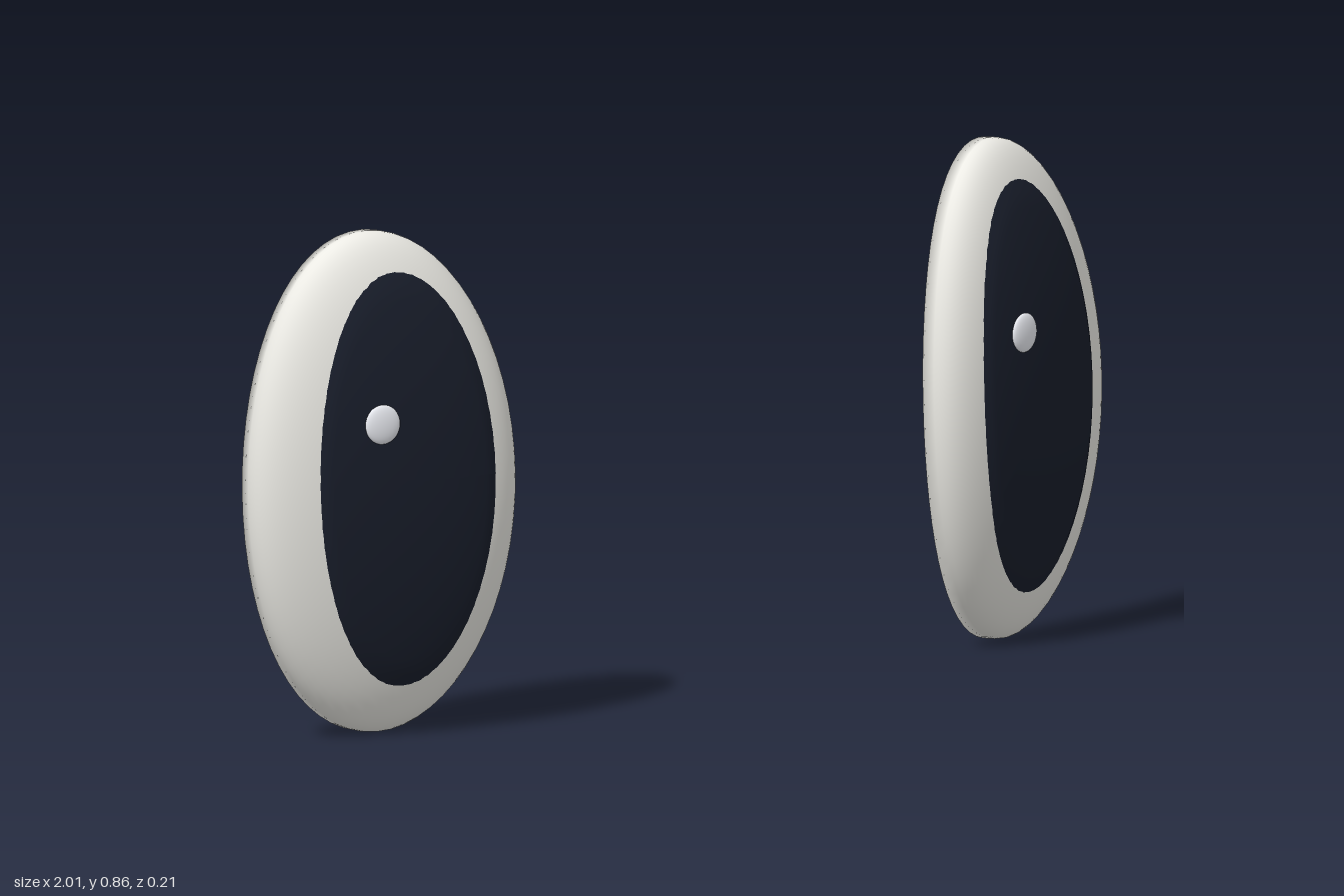
import * as THREE from 'three';
import { mergeVertices } from 'three/addons/utils/BufferGeometryUtils.js';

const A = 0.258, B = 0.43;             // half width and half height of an eye
const FRONT = 0.111;                   // bulge of the front
const EDGE = 0.011;                    // half thickness of the rim
const BACK = 0.023;                    // depth of the back's middle
const BEND = 0.03;                     // top and bottom sit behind the side edges
const YAW = 0.262, PITCH = 0.029;

const bend = (u) => -BEND * (1 - (u / A) ** 2);
const frontDepth = (u, v) =>
  EDGE + FRONT * Math.sqrt(Math.max(0, 1 - (u / A) ** 2 - (v / B) ** 2)) + bend(u);

// Domed front, thin rim bent around the vertical axis, almost flat back
function eyeballGeometry() {
  const n = 20;
  const pts = [0, 0.25, 0.5, 0.75, 1].map((r) => new THREE.Vector2(r, -EDGE));
  for (let i = 0; i <= n; i++) {
    const a = (i / n) * Math.PI / 2;
    pts.push(new THREE.Vector2(i === n ? 0 : Math.cos(a), EDGE + FRONT * Math.sin(a)));
  }
  let geo = new THREE.LatheGeometry(pts, 64).rotateX(Math.PI / 2).scale(A, B, 1);
  geo.deleteAttribute('normal');
  geo.deleteAttribute('uv');
  geo = mergeVertices(geo);
  const p = geo.attributes.position;
  for (let i = 0; i < p.count; i++) {
    const u = p.getX(i), v = p.getY(i), z = p.getZ(i);
    const r = Math.hypot(u / A, v / B);
    // The back runs straight from its middle to the bent rim
    if (z < 0) p.setZ(i, -BACK * (1 - r) + r * (z + bend(r > 0 ? u / r : 0)));
    else p.setZ(i, z + bend(u));
  }
  geo.computeVertexNormals();
  return geo;
}

// Oval cap that follows the domed front, its last ring tucked under the surface
function pupilGeometry(side) {
  const cu = -side * 0.018, cv = 0.009, ru = 0.176, rv = 0.36;
  const geo = new THREE.RingGeometry(0, 1, 64, 14).scale(ru, rv, 1).translate(cu, cv, 0);
  const p = geo.attributes.position;
  for (let i = 0; i < p.count; i++) {
    const u = p.getX(i), v = p.getY(i);
    const edge = Math.hypot((u - cu) / ru, (v - cv) / rv) > 0.99;
    p.setZ(i, frontDepth(u, v) + (edge ? -0.001 : 0.004));
  }
  geo.computeVertexNormals();
  return geo;
}

export function createModel() {
  const model = new THREE.Group();
  model.name = 'eyes';
  const white = new THREE.MeshStandardMaterial({ color: 0xebeae4 });
  const dark = new THREE.MeshStandardMaterial({ color: 0x181d2a });
  const shine = new THREE.MeshStandardMaterial({ color: 0xeceef4 });
  const ball = eyeballGeometry();
  const glintGeometry = new THREE.SphereGeometry(1, 24, 16).scale(0.033, 0.034, 0.009);

  for (const side of [1, -1]) {
    const eye = new THREE.Group();
    eye.name = side > 0 ? 'leftEye' : 'rightEye';
    const add = (name, geo, mat) => {
      const mesh = new THREE.Mesh(geo, mat);
      mesh.name = name;
      eye.add(mesh);
      return mesh;
    };
    add('eyeball', ball, white);
    add('pupil', pupilGeometry(side), dark);

    // The glint sits on the same side of both eyes
    const u = side > 0 ? -0.088 : -0.041, v = 0.112;
    const glint = add('glint', glintGeometry, shine);
    glint.position.set(u, v, frontDepth(u, v) + 0.008);
    glint.rotation.set(PITCH, u * 1.2, 0);

    eye.rotation.set(-PITCH, side * YAW, 0, 'YXZ');
    eye.position.set(side * 0.75, 0.431, -0.022);
    model.add(eye);
  }
  return model;
}
